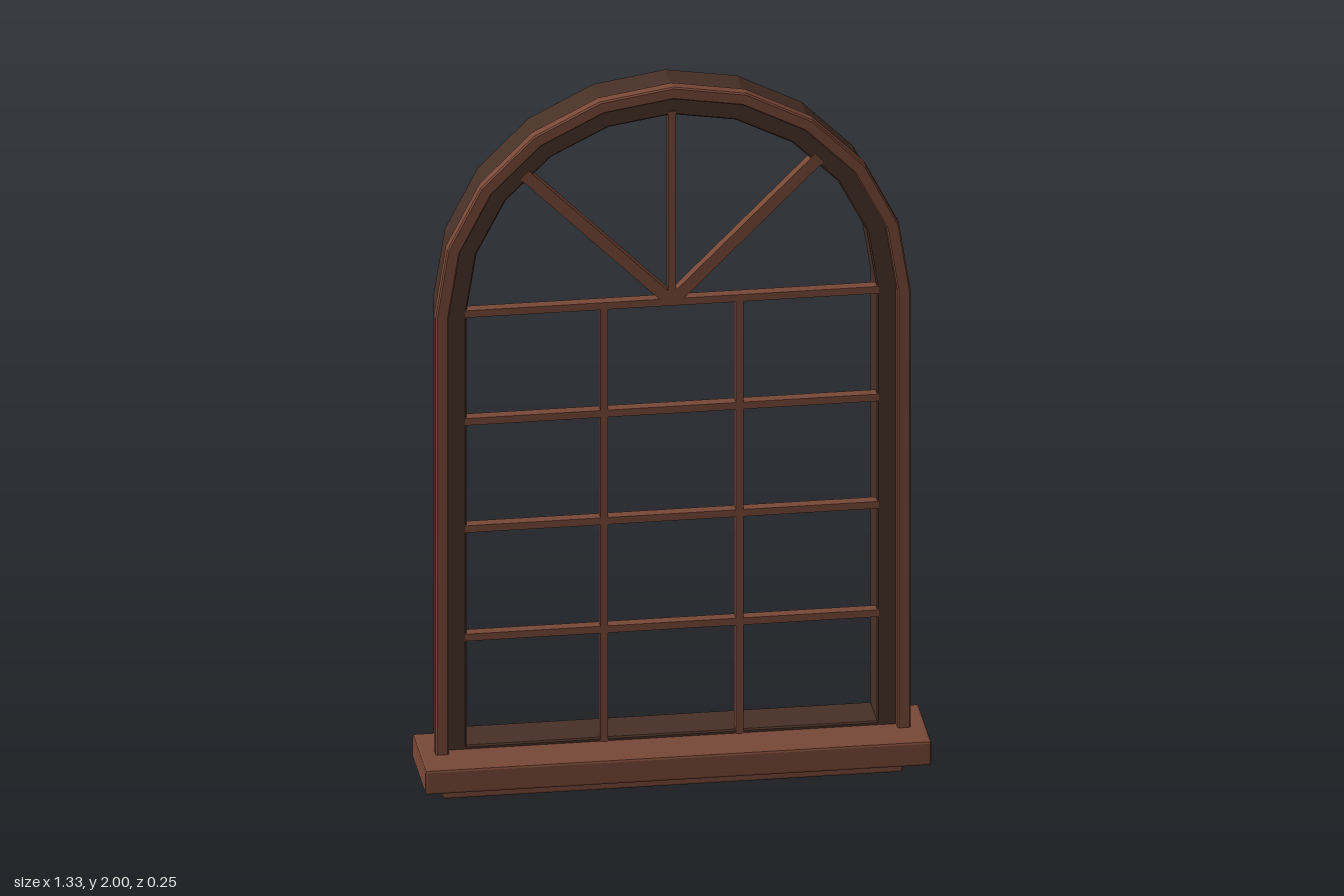
import * as THREE from 'three';
import { RoundedBoxGeometry } from 'three/addons/geometries/RoundedBoxGeometry.js';

const SPRING = 1.38; // height where the arch starts

// Straight sides from the bottom, closed by a ten-sided half ellipse
function archPoints(rx, ry, bottom) {
  const pts = [new THREE.Vector2(-rx, bottom), new THREE.Vector2(rx, bottom)];
  for (let i = 0; i <= 10; i++) {
    const a = (i / 10) * Math.PI;
    pts.push(new THREE.Vector2(rx * Math.cos(a), SPRING + ry * Math.sin(a)));
  }
  return pts;
}

// Arched ring with small chamfers, between zBack and zFront
function archRing(outer, inner, zBack, zFront) {
  const b = 0.004;
  const shape = new THREE.Shape(archPoints(...outer));
  shape.holes.push(new THREE.Path(archPoints(...inner)));
  const geo = new THREE.ExtrudeGeometry(shape, {
    depth: zFront - zBack - 2 * b, bevelEnabled: true,
    bevelSize: b, bevelThickness: b, bevelOffset: -b, bevelSegments: 1,
  });
  geo.translate(0, 0, zBack + b);
  return geo;
}

export function createModel() {
  const group = new THREE.Group();
  const wood = new THREE.MeshStandardMaterial({ color: 0x784837, flatShading: true });
  wood.name = 'warm brown wood';
  const dark = new THREE.MeshStandardMaterial({ color: 0x473026, flatShading: true });
  dark.name = 'dark brown wood';

  const add = (name, geo, mat, parent = group) => {
    const mesh = new THREE.Mesh(geo, mat);
    mesh.name = name;
    parent.add(mesh);
    return mesh;
  };

  // Deep frame set in the wall, and the thin trim around its front
  add('frame', archRing([0.61, 0.605, 0.07], [0.54, 0.53, 0.14], -0.125, 0), dark);
  add('trim', archRing([0.625, 0.62, 0.052], [0.59, 0.585, 0.09], -0.007, 0.028), wood);

  // Sill and the apron below it
  const block = (name, w, y0, y1, z0, z1) => {
    const mesh = add(name, new RoundedBoxGeometry(w, y1 - y0, z1 - z0, 1, 0.007), wood);
    mesh.position.set(0, (y0 + y1) / 2, (z0 + z1) / 2);
  };
  block('sill', 1.332, 0.06, 0.13, -0.118, 0.123);
  block('apron', 1.21, 0, 0.062, -0.088, 0.024);

  // Glazing bars
  const bars = new THREE.Group();
  bars.name = 'glazingBars';
  group.add(bars);
  const bar = (name, x0, y0, x1, y1, width = 0.02) => {
    const length = Math.hypot(x1 - x0, y1 - y0);
    const mesh = add(name, new THREE.BoxGeometry(width, length, 0.03), wood, bars);
    mesh.position.set((x0 + x1) / 2, (y0 + y1) / 2, -0.012);
    mesh.rotation.z = Math.atan2(x0 - x1, y1 - y0);
  };
  for (const y of [0.45, 0.76, 1.067, 1.375]) bar('crossBar', -0.545, y, 0.545, y);
  for (const side of [-1, 1]) {
    bar('uprightBar', side * 0.178, 0.13, side * 0.178, 1.375);
    bar('fanBar', 0, 1.375, side * 0.388, 1.763, 0.032);
  }
  bar('centreFanBar', 0, 1.37, 0, 1.92);

  return group;
}
